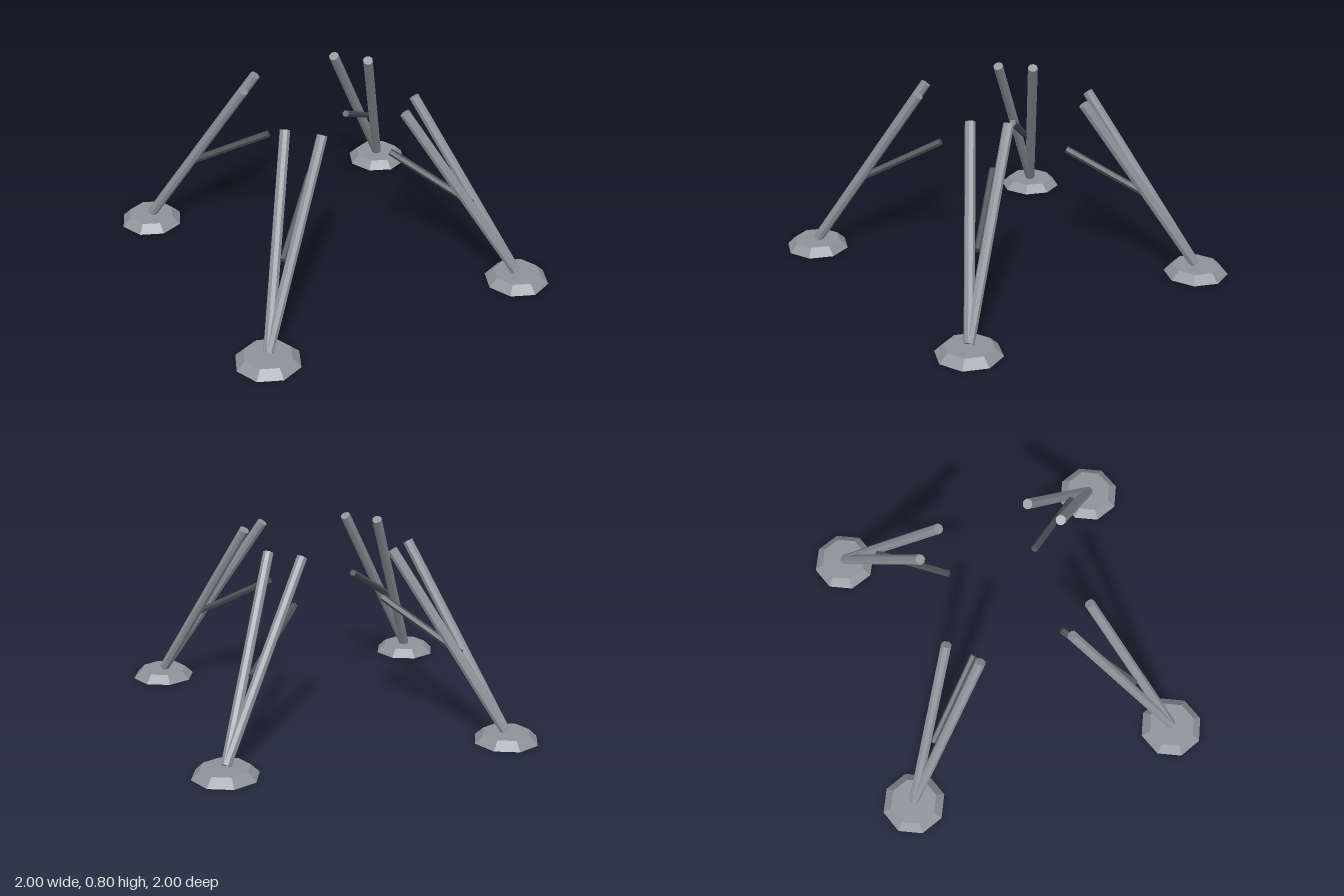
import * as THREE from 'three';

const steel = new THREE.MeshStandardMaterial({ color: 0x8f9299, flatShading: true });
steel.name = 'steel grey';
const dark = new THREE.MeshStandardMaterial({ color: 0x505257, flatShading: true });
dark.name = 'dark grey';

// Straight rod between two points
function rod(name, from, to, radius, sides, material) {
  const a = new THREE.Vector3(...from);
  const dir = new THREE.Vector3(...to).sub(a);
  const mesh = new THREE.Mesh(new THREE.CylinderGeometry(radius, radius, dir.length(), sides), material);
  mesh.name = name;
  mesh.position.copy(a).addScaledVector(dir, 0.5);
  mesh.quaternion.setFromUnitVectors(new THREE.Vector3(0, 1, 0), dir.normalize());
  return mesh;
}

// One landing leg reaching out along +x
function createLeg() {
  const leg = new THREE.Group();
  const foot = new THREE.Mesh(new THREE.CylinderGeometry(0.104, 0.141, 0.036, 8), steel);
  foot.name = 'footPad';
  foot.position.set(0.859, 0.018, 0);
  leg.add(foot);
  // Pair of main struts spreading towards the top
  for (const side of [-1, 1]) {
    leg.add(rod('mainStrut', [0.853, 0.042, 0], [0.355, 0.786, side * 0.079], 0.0225, 8, steel));
  }
  // Thin brace between the struts
  leg.add(rod('brace', [0.645, 0.35, 0], [0.276, 0.547, 0], 0.0155, 6, dark));
  return leg;
}

export function createModel() {
  const model = new THREE.Group();
  model.name = 'landingLegs';
  ['leftLeg', 'backLeg', 'rightLeg', 'frontLeg'].forEach((name, i) => {
    const leg = createLeg();
    leg.name = name;
    leg.rotation.y = i * Math.PI / 2;
    model.add(leg);
  });
  return model;
}
